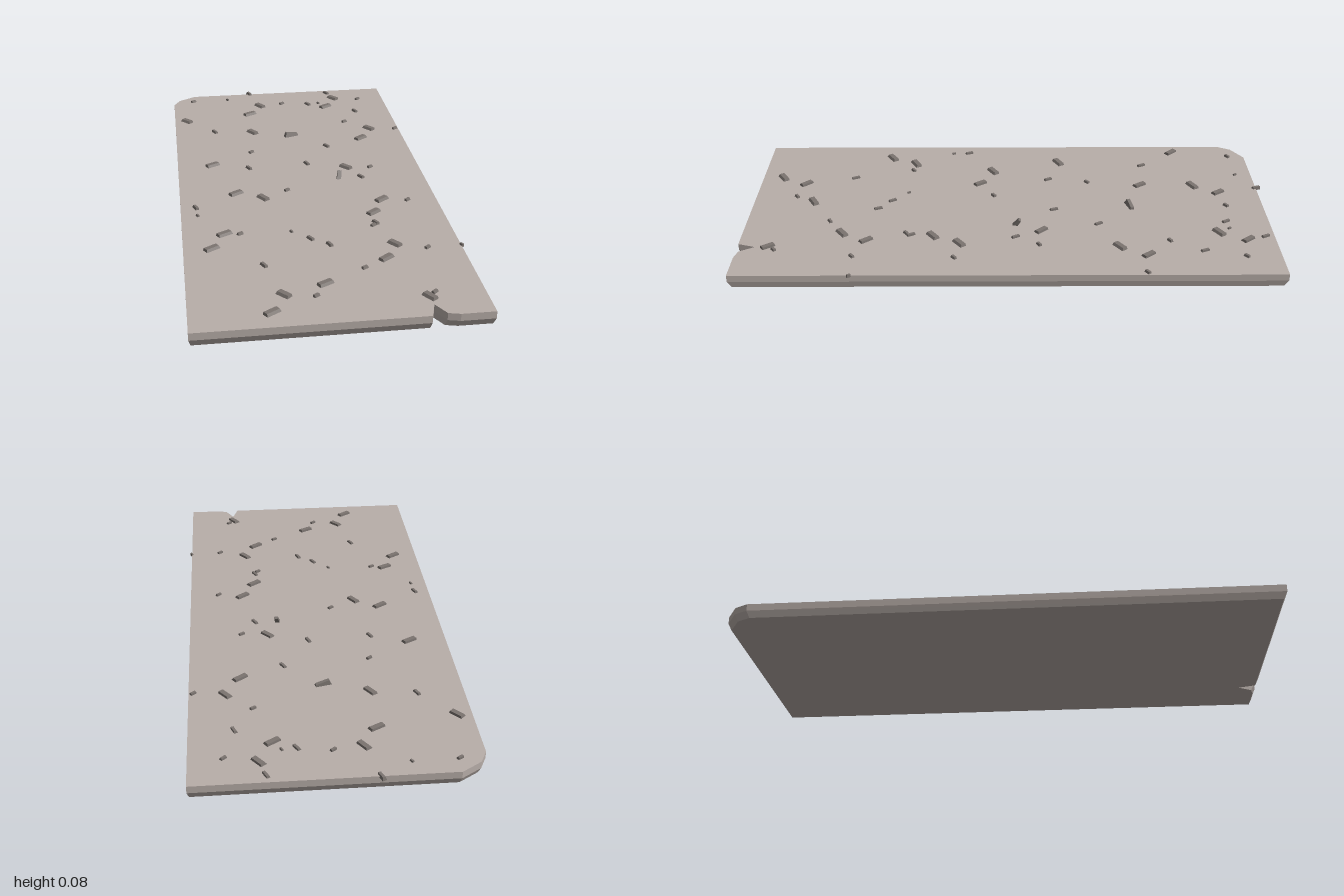
import * as THREE from 'three';

const stone = new THREE.MeshStandardMaterial({ color: 0xb8aea9, flatShading: true });
const dark = new THREE.MeshStandardMaterial({ color: 0x7b7470, flatShading: true });
const TOP = 0.052;

// Slab outline as [x, z], with a cut back corner and a notch in the front edge
const outline = [
  [-0.485, 1], [0.27, 1], [0.29, 0.935], [0.32, 0.99], [0.36, 1], [0.475, 1],
  [0.475, -0.985], [-0.39, -0.985], [-0.46, -0.94], [-0.485, -0.89],
];

function slabGeometry() {
  const shape = new THREE.Shape(outline.map(([x, z]) => new THREE.Vector2(x, -z)));
  const g = new THREE.ExtrudeGeometry(shape, { depth: TOP, steps: 2, bevelEnabled: false });
  g.rotateX(-Math.PI / 2);
  // Draw the underside in a little so that the lower half of the rim tapers
  const p = g.attributes.position;
  for (let i = 0; i < p.count; i++) {
    if (p.getY(i) < 0.001) p.setXYZ(i, p.getX(i) * 0.987, 0, p.getZ(i) * 0.987);
  }
  g.computeVertexNormals();
  return g;
}

// Stone chip: a box whose top is smaller and pushed to one side
function chipGeometry() {
  const g = new THREE.BoxGeometry(1, 1, 1);
  const p = g.attributes.position;
  for (let i = 0; i < p.count; i++) {
    if (p.getY(i) > 0) p.setXYZ(i, p.getX(i) * 0.85, 0.5, p.getZ(i) * 0.6 - 0.15);
  }
  g.computeVertexNormals();
  return g;
}

// Chips by kind: size [length, height, width], turn in degrees, places [x, z]
const chipKinds = [
  {
    name: 'largeChip', size: [0.06, 0.016, 0.03], turn: 33, places: [
      [-0.15, -0.73], [0.2, -0.78], [0.295, -0.4], [-0.345, -0.2], [-0.27, 0.07], [0.22, 0.29],
      [-0.335, 0.39], [-0.385, 0.49], [0.2, 0.63], [-0.03, 0.77], [-0.22, 0.92], [0.27, 0.19],
    ],
  },
  {
    name: 'largeTurnedChip', size: [0.055, 0.016, 0.03], turn: -52, places: [
      [-0.1, -0.825], [0.245, -0.88], [-0.435, -0.68], [-0.16, -0.52], [0.345, -0.5],
      [0.18, -0.115], [-0.175, 0.12], [0.245, 0.535], [-0.175, 0.82], [0.285, 0.89],
    ],
  },
  {
    name: 'splinter', size: [0.034, 0.014, 0.016], turn: -64, places: [
      [-0.135, -0.985], [0.225, -0.95], [0.12, -0.82], [0.32, -0.71], [-0.32, -0.545],
      [0.135, -0.335], [0.03, -0.17], [-0.205, -0.155], [0.225, -0.02], [-0.43, 0.17],
      [0.21, 0.37], [-0.04, 0.46], [0.02, 0.51], [-0.22, 0.625],
    ],
  },
  {
    name: 'crumb', size: [0.015, 0.012, 0.01], turn: -60, places: [
      [-0.425, 0.235], [0.17, -0.825], [-0.24, -0.92], [-0.1, 0.4], [0.475, 0.57],
    ],
  },
  {
    name: 'smallChip', size: [0.024, 0.014, 0.015], turn: 36, places: [
      [-0.395, -0.915], [0.005, -0.84], [0.36, -0.855], [0.255, -0.59], [0.46, -0.485],
      [-0.18, -0.31], [0.28, -0.105], [-0.075, 0.065], [0.365, 0.205], [-0.28, 0.395],
      [0.2, 0.39], [0.355, 0.575], [0.115, 0.685], [-0.07, 0.84], [0.31, 0.865],
    ],
  },
];

export function createModel() {
  const model = new THREE.Group();
  model.name = 'stoneSlab';

  const slab = new THREE.Mesh(slabGeometry(), stone);
  slab.name = 'slab';
  model.add(slab);

  const chips = new THREE.Group();
  chips.name = 'chips';
  model.add(chips);
  const chip = chipGeometry();
  const addChip = (name, size, x, y, z, turn) => {
    const m = new THREE.Mesh(chip, dark);
    m.name = name;
    m.scale.set(...size);
    m.position.set(x, y, z);
    m.rotation.y = THREE.MathUtils.degToRad(turn);
    chips.add(m);
    return m;
  };
  for (const { name, size, turn, places } of chipKinds) {
    places.forEach(([x, z], i) => addChip(name, size, x, TOP + 0.001, z, turn + (i % 3 - 1) * 4));
  }

  // Long flake lying tilted, and one chip standing on end
  addChip('tiltedFlake', [0.06, 0.02, 0.022], 0.005, TOP + 0.004, -0.465, 14).rotation.z = -0.2;
  const standing = addChip('standingChip', [0.017, 0.04, 0.018], 0.141, TOP + 0.01, -0.025, 0);
  standing.rotation.set(-0.5, 0, -0.2);
  return model;
}
